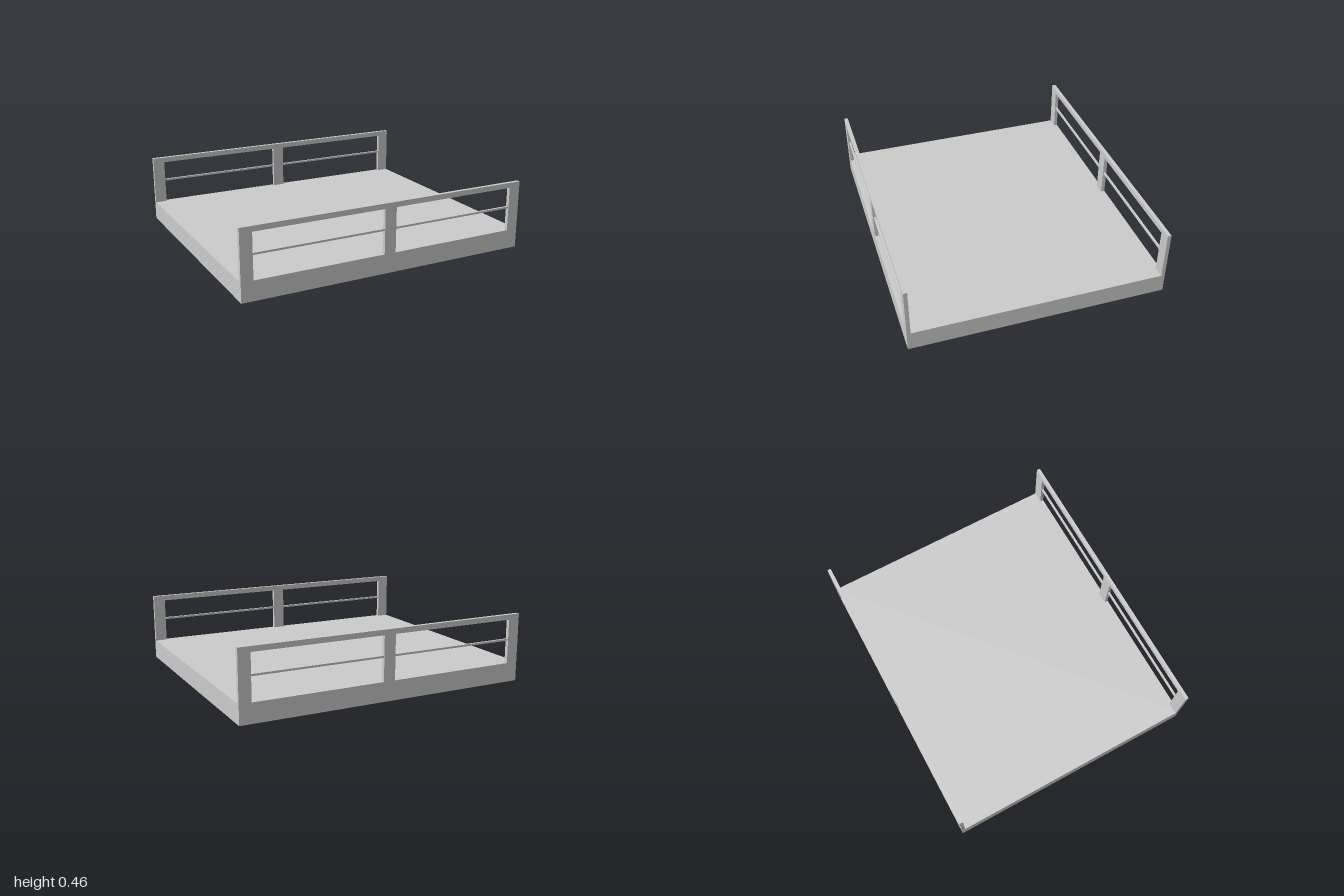
import * as THREE from 'three';

const material = new THREE.MeshStandardMaterial({ color: 0xcccccc, flatShading: true });

const DECK_TOP = 0.13, RAIL_TOP = 0.463, HALF_DEPTH = 0.857, THICK = 0.025;

// Box given by its centre x, bottom and top heights, centre z
function box(name, width, bottom, top, depth, x = 0, z = 0) {
  const mesh = new THREE.Mesh(new THREE.BoxGeometry(width, top - bottom, depth), material);
  mesh.name = name;
  mesh.position.set(x, (bottom + top) / 2, z);
  return mesh;
}

// Railing: three flat posts, a top rail and a thin middle bar in each bay
function createRailing(name) {
  const railing = new THREE.Group();
  railing.name = name;
  const topRailBottom = 0.428;
  for (const x of [-0.96, 0, 0.96]) {
    railing.add(box('post', 0.08, DECK_TOP, topRailBottom, THICK, x));
  }
  railing.add(box('topRail', 2, topRailBottom, RAIL_TOP, THICK));
  for (const x of [-0.48, 0.48]) {
    railing.add(box('middleBar', 0.88, 0.284, 0.297, 0.014, x));
  }
  return railing;
}

export function createModel() {
  const model = new THREE.Group();
  model.name = 'bridgeSection';

  // Solid deck slab
  model.add(box('deck', 2, 0, DECK_TOP, 2 * HALF_DEPTH));

  // Railings along the front and back edges
  for (const side of [1, -1]) {
    const railing = createRailing(side > 0 ? 'frontRailing' : 'backRailing');
    railing.position.z = side * (HALF_DEPTH - THICK / 2);
    model.add(railing);
  }
  return model;
}
